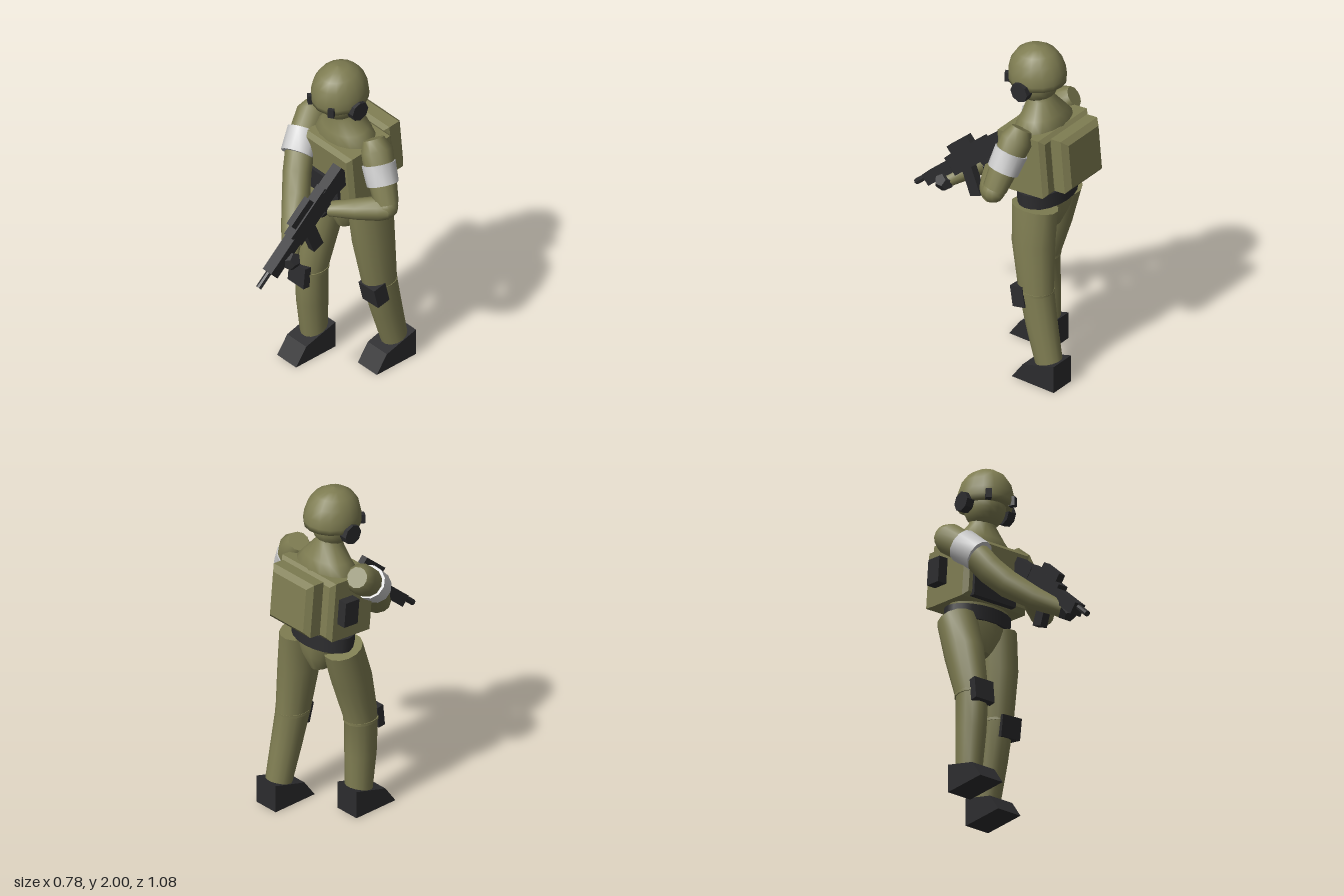
import * as THREE from 'three';

const mat = (color, extra = {}) => new THREE.MeshStandardMaterial({ color, ...extra });
const OLIVE = mat(0x7f7d52, { side: THREE.DoubleSide });
const OLIVE_FLAT = mat(0x7f7d52, { flatShading: true });
const BLACK = mat(0x2c2c2e, { flatShading: true });
const BAND = mat(0xcccccc);
const CX = -0.065; // body centre line

// Lofted limb: each ring is [x, y, z, radius across, radius deep], capped at both ends
function loft(rings, seg = 14) {
  const pts = rings.map((r) => new THREE.Vector3(r[0], r[1], r[2]));
  const pos = [], idx = [], loops = [];
  const push = (p) => pos.push(p.x, p.y, p.z);
  pts.forEach((p, i) => {
    const t = pts[Math.min(i + 1, pts.length - 1)].clone().sub(pts[Math.max(i - 1, 0)]).normalize();
    const u = new THREE.Vector3(0, 0, 1).cross(t).normalize();
    const v = t.clone().cross(u);
    const [ru, rv = rings[i][3]] = rings[i].slice(3);
    const loop = [];
    for (let j = 0; j < seg; j++) {
      const a = (j / seg) * Math.PI * 2;
      loop.push(p.clone().addScaledVector(u, Math.cos(a) * ru).addScaledVector(v, Math.sin(a) * rv));
    }
    loops.push(loop);
    loop.forEach(push);
  });
  for (let i = 0; i < pts.length - 1; i++) for (let j = 0; j < seg; j++) {
    const k = (j + 1) % seg, a = i * seg, b = a + seg;
    idx.push(a + j, a + k, b + j, a + k, b + k, b + j);
  }
  [0, pts.length - 1].forEach((end) => {
    const base = pos.length / 3;
    loops[end].forEach(push);
    push(pts[end]);
    for (let j = 0; j < seg; j++) {
      const k = (j + 1) % seg;
      idx.push(base + seg, base + (end ? j : k), base + (end ? k : j));
    }
  });
  const g = new THREE.BufferGeometry();
  g.setAttribute('position', new THREE.Float32BufferAttribute(pos, 3));
  g.setIndex(idx);
  g.computeVertexNormals();
  return g;
}

// Box with chamfered front and back edges
function slab(w, h, d, b) {
  const x = w / 2 - b, y = h / 2 - b;
  const s = new THREE.Shape([[-x, -y], [x, -y], [x, y], [-x, y]].map((p) => new THREE.Vector2(...p)));
  const g = new THREE.ExtrudeGeometry(s, { depth: d - 2 * b, bevelThickness: b, bevelSize: b, bevelSegments: 1 });
  return g.center();
}

// Side profile in [z, y], extruded across x
function sideProfile(points, width) {
  const s = new THREE.Shape(points.map((p) => new THREE.Vector2(...p)));
  return new THREE.ExtrudeGeometry(s, { depth: width, bevelEnabled: false })
    .translate(0, 0, -width / 2).rotateY(-Math.PI / 2);
}

export function createModel() {
  const model = new THREE.Group();
  model.name = 'soldier';
  const add = (name, geo, material, p = [0, 0, 0], r = [0, 0, 0], parent = model) => {
    const m = new THREE.Mesh(geo, material);
    m.name = name;
    m.position.set(...p);
    m.rotation.set(...r);
    parent.add(m);
    return m;
  };
  const box = (w, h, d) => new THREE.BoxGeometry(w, h, d);

  // Head, helmet and headset
  add('head', new THREE.SphereGeometry(1, 16, 12).scale(0.115, 0.125, 0.12), OLIVE, [CX, 1.775, -0.2]);
  const dome = [[0, 0.172], [0.055, 0.163], [0.105, 0.133], [0.14, 0.085], [0.157, 0.025], [0.16, -0.02], [0.155, -0.052], [0.11, -0.045]];
  add('helmet', new THREE.LatheGeometry(dome.map((p) => new THREE.Vector2(...p)), 16).scale(0.96, 1, 1.06),
    OLIVE, [CX, 1.828, -0.2], [0.08, 0, 0]);
  for (const s of [-1, 1]) {
    add('earCup', new THREE.CylinderGeometry(0.058, 0.058, 0.05, 8).rotateZ(Math.PI / 2), BLACK, [CX + s * 0.145, 1.772, -0.2]);
    add('helmetClip', box(0.034, 0.055, 0.035), BLACK, [CX + s * 0.085, 1.79, -0.062], [0, s * 0.5, 0]);
  }

  // Torso, belt and pelvis
  add('torso', loft([
    [CX, 1.1, -0.265, 0.18, 0.125], [CX, 1.35, -0.25, 0.2, 0.14], [CX, 1.52, -0.245, 0.215, 0.14],
    [CX, 1.59, -0.24, 0.15, 0.115], [CX, 1.67, -0.225, 0.08, 0.08], [CX, 1.73, -0.21, 0.07, 0.075],
  ], 16), OLIVE);
  add('belt', new THREE.CylinderGeometry(1, 1, 0.085, 20).scale(0.21, 1, 0.137), mat(0x2c2c2e),
    [CX, 1.112, -0.27], [0.05, 0, 0]);
  add('pelvis', loft([
    [CX, 1.1, -0.27, 0.195, 0.128], [CX, 1.0, -0.27, 0.13, 0.125], [CX, 0.9, -0.27, 0.05, 0.08],
  ]), OLIVE);

  // Vest with backpack, chest pouch and radio
  const vest = new THREE.Group();
  vest.name = 'vest';
  vest.position.set(CX, 1.355, -0.25);
  vest.rotation.x = 0.09;
  model.add(vest);
  add('vestBody', slab(0.44, 0.36, 0.33, 0.025), OLIVE_FLAT, [0, 0, 0], [0, 0, 0], vest);
  add('backpack', slab(0.33, 0.325, 0.13, 0.03), OLIVE_FLAT, [0, 0.02, -0.22], [0, 0, 0], vest);
  add('chestPouch', box(0.29, 0.14, 0.04), BLACK, [-0.025, -0.105, 0.165], [0, 0, 0], vest);
  add('radio', box(0.065, 0.15, 0.1), BLACK, [-0.245, 0, -0.06], [0, 0, 0], vest);

  // Legs: right strides forward, left trails
  const legs = {
    right: {
      rings: [[-0.213, 1.07, -0.26, 0.112, 0.115], [-0.215, 0.85, -0.195, 0.106, 0.12], [-0.215, 0.57, -0.125, 0.086, 0.1],
        [-0.218, 0.35, -0.132, 0.082, 0.095], [-0.22, 0.12, -0.147, 0.073, 0.08]],
      pad: [-0.215, 0.565, -0.035], padSize: [0.13, 0.13, 0.045], tilt: -0.1, boot: [-0.22, 0, -0.235],
    },
    left: {
      rings: [[0.08, 1.07, -0.295, 0.1, 0.145], [0.1, 0.85, -0.3, 0.104, 0.13], [0.115, 0.56, -0.33, 0.088, 0.105],
        [0.122, 0.35, -0.375, 0.082, 0.093], [0.127, 0.12, -0.43, 0.073, 0.078]],
      pad: [0.14, 0.525, -0.268], padSize: [0.13, 0.125, 0.085], tilt: 0.2, boot: [0.127, 0, -0.52],
    },
  };
  for (const [side, l] of Object.entries(legs)) {
    add(side + 'Leg', loft(l.rings), OLIVE);
    add(side + 'KneePad', box(...l.padSize), BLACK, l.pad, [l.tilt, 0, side === 'left' ? 0.05 : 0]);
    const k = l.rings[2];
    add(side + 'KneeStrap', loft([[k[0], k[1] + 0.008, k[2], 0.092, 0.106], [k[0], k[1] - 0.008, k[2], 0.092, 0.106]]), OLIVE);
    add(side + 'Boot', sideProfile([[0, 0], [0.29, 0], [0.215, 0.105], [0, 0.167]], 0.156), BLACK, l.boot);
  }

  // Left arm, bent sharply to the grip
  add('leftUpperArm', loft([
    [0.15, 1.585, -0.255, 0.06], [0.185, 1.53, -0.247, 0.092], [0.25, 1.405, -0.225, 0.083], [0.32, 1.26, -0.2, 0.068],
  ], 12), OLIVE);
  add('leftElbow', new THREE.SphereGeometry(0.066, 12, 8), OLIVE, [0.325, 1.245, -0.195]);
  add('leftForearm', loft([
    [0.355, 1.235, -0.2, 0.05], [0.3, 1.235, -0.165, 0.07], [0.2, 1.215, -0.085, 0.06], [0.075, 1.195, 0.01, 0.042],
  ], 12), OLIVE);
  add('leftArmband', loft([[0.215, 1.465, -0.235, 0.096], [0.27, 1.36, -0.217, 0.09]], 12), BAND);
  add('leftHand', new THREE.DodecahedronGeometry(0.056), BLACK, [0.045, 1.195, 0.035]);

  // Right arm, reaching forward to the handguard
  add('rightArm', loft([
    [-0.325, 1.56, -0.255, 0.06], [-0.31, 1.53, -0.215, 0.088], [-0.255, 1.42, -0.08, 0.083], [-0.19, 1.29, 0.005, 0.08],
    [-0.12, 1.2, 0.075, 0.078], [-0.02, 1.1, 0.19, 0.064], [0.085, 1.02, 0.3, 0.045],
  ], 12), OLIVE);
  add('rightArmband', loft([[-0.28, 1.465, -0.13, 0.096], [-0.235, 1.375, -0.035, 0.093]], 12), BAND);
  add('rightHand', new THREE.DodecahedronGeometry(0.058), BLACK, [0.105, 1.01, 0.315]);

  // Rifle, muzzle along local +z, pointed down
  const rifle = new THREE.Group();
  rifle.name = 'rifle';
  rifle.position.set(0.078, 1.23, 0.17);
  rifle.rotation.x = 0.726;
  model.add(rifle);
  const part = (name, geo, p, r) => add(name, geo, BLACK, p, r, rifle);
  part('barrel', new THREE.CylinderGeometry(0.017, 0.017, 0.14, 8).rotateX(Math.PI / 2), [0, 0, 0.41]);
  part('handguard', box(0.07, 0.07, 0.23), [0, -0.015, 0.265]);
  part('receiver', box(0.062, 0.115, 0.33), [0, -0.015, -0.01]);
  part('sight', box(0.042, 0.05, 0.18), [0, 0.065, 0.01]);
  part('stock', sideProfile([[-0.15, 0.03], [-0.32, 0.026], [-0.32, -0.1], [-0.26, -0.1], [-0.15, -0.06]], 0.066));
  part('magazine', box(0.045, 0.18, 0.075), [0, -0.14, 0.08], [-0.35, 0, 0]);
  part('grip', box(0.04, 0.12, 0.05), [0, -0.1, -0.1], [0.3, 0, 0]);
  return model;
}
